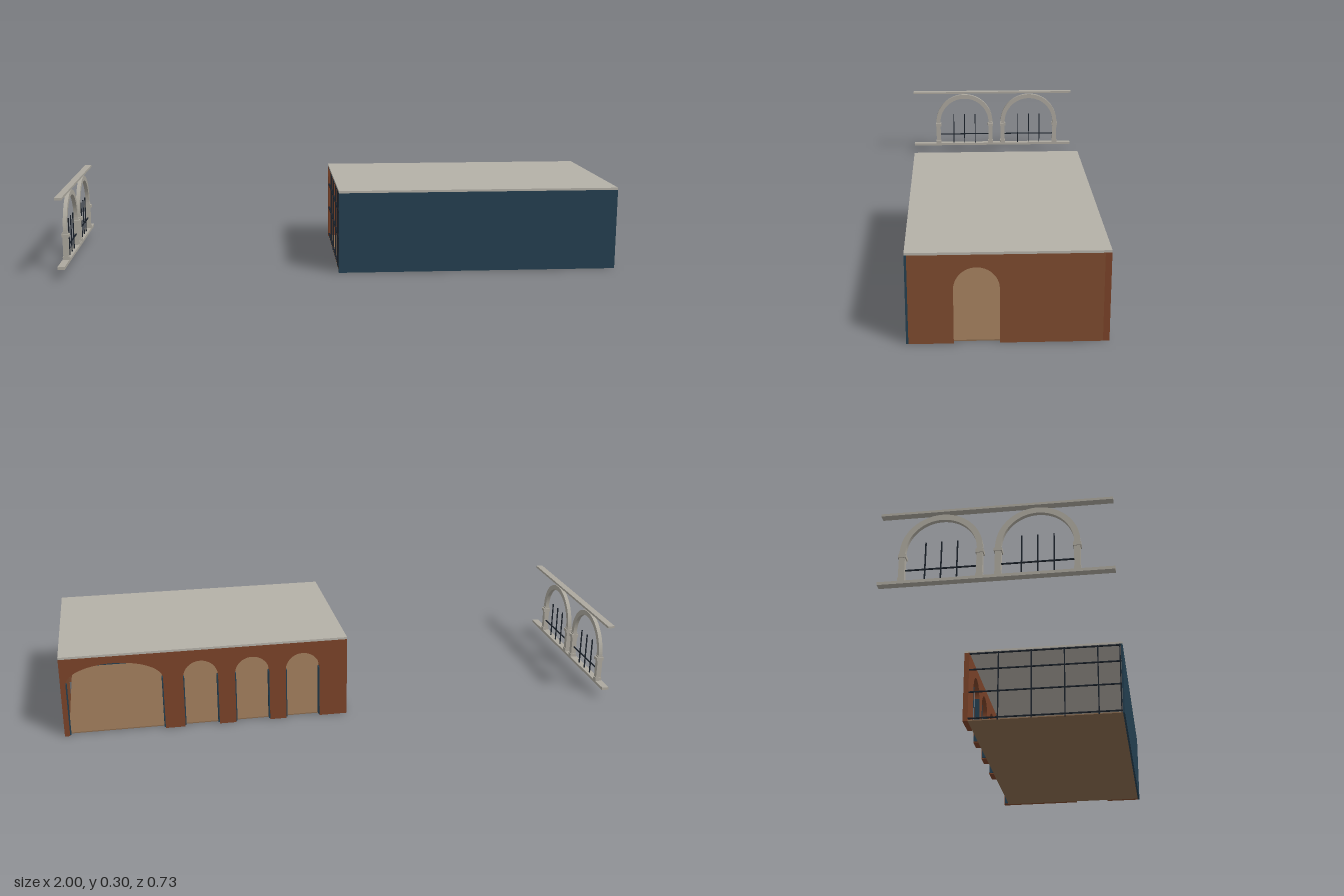
import * as THREE from 'three';

const mat = (name, color, side = THREE.FrontSide) => {
  const m = new THREE.MeshStandardMaterial({ color, side });
  m.name = name;
  return m;
};

export function createModel() {
  const roofGrey = mat('roof grey', 0xb4b0a7);
  const stone = mat('pale stone', 0xaca89e);
  const navy = mat('navy', 0x243f50);
  const brick = mat('brown brick', 0x7d4b2f);
  const backBrick = mat('red brown brick', 0x7a4228);
  const floorTan = mat('floor tan', 0x8a6b4f);
  const iron = mat('dark iron', 0x1b222b);

  const model = new THREE.Group();
  model.name = 'pavilionAndArcade';
  const building = new THREE.Group();
  building.name = 'building';
  const arcade = new THREE.Group();
  arcade.name = 'arcade';
  model.add(building, arcade);

  // Box given by its minimum and maximum corners
  const box = (parent, name, m, [x0, y0, z0], [x1, y1, z1]) => {
    const mesh = new THREE.Mesh(new THREE.BoxGeometry(x1 - x0, y1 - y0, z1 - z0), m);
    mesh.position.set((x0 + x1) / 2, (y0 + y1) / 2, (z0 + z1) / 2);
    mesh.name = name;
    parent.add(mesh);
    return mesh;
  };

  // Wall with arched openings that reach the ground
  const archedWall = (name, m, u0, u1, height, thick, openings) => {
    const s = new THREE.Shape();
    s.moveTo(u0, 0);
    for (const [a, b, spring, top] of openings) {
      s.lineTo(a, 0);
      s.lineTo(a, spring);
      s.absellipse((a + b) / 2, spring, (b - a) / 2, top - spring, Math.PI, 0, true);
      s.lineTo(b, 0);
    }
    s.lineTo(u1, 0);
    s.lineTo(u1, height);
    s.lineTo(u0, height);
    s.closePath();
    const g = new THREE.ExtrudeGeometry(s, { depth: thick, bevelEnabled: false, curveSegments: 24 });
    const mesh = new THREE.Mesh(g, m);
    mesh.name = name;
    building.add(mesh);
    return mesh;
  };

  // Roof, floor and plain front wall
  const H = 0.291;
  box(building, 'roof', roofGrey, [-0.01, H, -0.295], [1, 0.299, 0.327]);
  box(building, 'floor', floorTan, [-0.008, 0, -0.275], [0.985, 0.004, 0.32]);
  box(building, 'frontWall', navy, [-0.01, 0, 0.32], [1, H, 0.327]);

  // Side wall with its arched doorway
  const side = archedWall('sideWall', brick, -0.32, 0.275, H, 0.015, [[-0.182, -0.041, 0.179, 0.25]]);
  side.rotation.y = Math.PI / 2;
  side.position.x = 0.985;

  // Back wall: three narrow arches and one wide arch
  const openings = [
    [0.09, 0.213, 0.189, 0.25],
    [0.272, 0.395, 0.189, 0.25],
    [0.455, 0.578, 0.189, 0.25],
    [0.648, 0.982, 0.195, 0.265],
  ];
  const back = archedWall('backWall', backBrick, -0.01, 1, H, 0.02, openings);
  back.position.z = -0.295;

  // Dark jamb linings in the back arches
  for (const [a, b, spring] of openings)
    for (const x of [a, b - 0.004])
      box(building, 'archJamb', navy, [x, 0.004, -0.293], [x + 0.004, spring, -0.273]);

  // Open window grid on the end
  for (const z of [-0.288, -0.16, -0.03, 0.1, 0.23, 0.316])
    box(building, 'gridUpright', iron, [-0.009, 0, z - 0.0022], [-0.003, H, z + 0.0022]);
  for (const y of [0.011, 0.122, 0.218, 0.287])
    box(building, 'gridRail', iron, [-0.009, y - 0.0022, -0.29], [-0.003, y + 0.0022, 0.32]);

  // Arcade beams
  box(arcade, 'baseBeam', stone, [-1, 0.038, -0.365], [-0.975, 0.048, 0.365]);
  box(arcade, 'topBeam', stone, [-1, 0.286, -0.365], [-0.975, 0.294, 0.365]);

  // Two arches with columns, capitals and railing
  const R = 0.131, r = 0.112, spring = 0.149;
  for (const c of [-0.17, 0.13]) {
    const s = new THREE.Shape();
    s.absarc(0, 0, R, 0, Math.PI, false);
    s.absarc(0, 0, r, Math.PI, 0, true);
    s.closePath();
    const g = new THREE.ExtrudeGeometry(s, { depth: 0.014, bevelEnabled: false, curveSegments: 24 });
    const arch = new THREE.Mesh(g, stone);
    arch.name = 'archRing';
    arch.rotation.y = Math.PI / 2;
    arch.position.set(-0.993, spring, c);
    arcade.add(arch);

    for (const k of [-1, 1]) {
      const z = c + k * (R + r) / 2;
      box(arcade, 'column', stone, [-0.996, 0.048, z - 0.0095], [-0.977, spring, z + 0.0095]);
      box(arcade, 'capital', stone, [-0.999, 0.131, z - 0.0125], [-0.972, 0.143, z + 0.0125]);
      box(arcade, 'columnFoot', stone, [-0.998, 0.048, z - 0.011], [-0.975, 0.06, z + 0.011]);
    }
    box(arcade, 'railing', iron, [-0.988, 0.088, c - r], [-0.984, 0.092, c + r]);
    for (const dz of [-0.05, 0, 0.05])
      box(arcade, 'railingBar', iron, [-0.988, 0.048, c + dz - 0.002], [-0.984, 0.185, c + dz + 0.002]);
  }
  return model;
}
